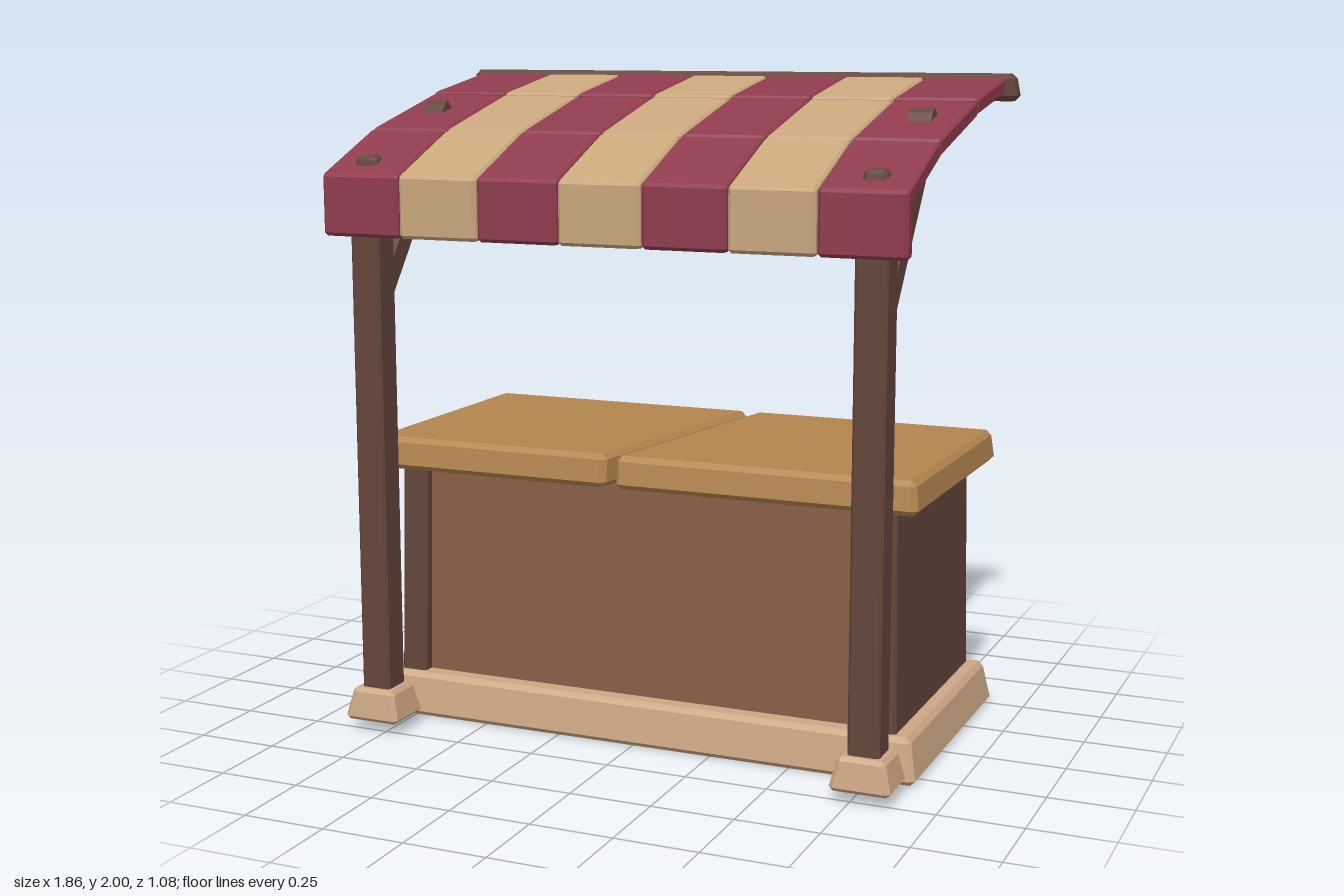
import * as THREE from 'three';
import { ConvexGeometry } from 'three/addons/geometries/ConvexGeometry.js';

const mat = (name, color) => {
  const m = new THREE.MeshStandardMaterial({ color });
  m.name = name;
  return m;
};

// Box with cut edges between two corners; warp may move each point
function chamferBox(min, max, c, warp) {
  const half = max.map((v, i) => (v - min[i]) / 2);
  const mid = max.map((v, i) => (v + min[i]) / 2);
  const pts = [];
  for (const sx of [-1, 1]) for (const sy of [-1, 1]) for (const sz of [-1, 1]) {
    for (let axis = 0; axis < 3; axis++) {
      const s = [sx, sy, sz];
      const p = s.map((d, i) => mid[i] + d * (half[i] - (i === axis ? 0 : c)));
      const v = new THREE.Vector3(...p);
      if (warp) warp(v, s);
      pts.push(v);
    }
  }
  return new ConvexGeometry(pts);
}

// Pulls the upper points inwards by dx and dz
const taper = (dx, dz) => (v, s) => {
  if (s[1] > 0) {
    v.x -= s[0] * dx;
    v.z -= s[2] * dz;
  }
};

export function createModel() {
  const red = mat('red cloth', 0x8f3c4e);
  const cream = mat('cream cloth', 0xc9a67c);
  const dark = mat('dark wood', 0x64463b);
  const panelWood = mat('panel wood', 0x875f46);
  const topWood = mat('counter wood', 0xb4854f);
  const pale = mat('pale base', 0xcba683);

  const model = new THREE.Group();
  model.name = 'marketStall';
  const add = (name, geo, material, parent = model) => {
    const m = new THREE.Mesh(geo, material);
    m.name = name;
    parent.add(m);
    return m;
  };

  // Counter: base, side walls, recessed panels
  const counter = new THREE.Group();
  counter.name = 'counter';
  model.add(counter);
  add('base', chamferBox([-0.885, 0, -0.54], [0.885, 0.135, 0.33], 0.015, taper(0.02, 0.02)), pale, counter);
  for (const s of [-1, 1]) {
    const a = s * 0.73, b = s * 0.815;
    add('sideWall', chamferBox([Math.min(a, b), 0.12, -0.49], [Math.max(a, b), 0.81, 0.285], 0.008, (v, k) => {
      if (k[1] > 0) {
        v.x -= s * 0.012;
        v.z -= k[2] * 0.012;
      }
    }), dark, counter);
  }
  add('panels', chamferBox([-0.75, 0.12, -0.455], [0.75, 0.80, 0.25], 0.005, taper(0, 0.01)), panelWood, counter);

  // Counter top: two boards parted by a slanted gap
  for (const s of [-1, 1]) {
    const inner = s * 0.016 - 0.005, outer = s * 0.877;
    add('counterBoard', chamferBox(
      [Math.min(inner, outer), 0.79, -0.54], [Math.max(inner, outer), 0.89, 0.33], 0.016,
      (v, k) => {
        if (k[0] === -s) v.x -= 0.15 * (v.z + 0.105);
        else if (k[1] > 0) v.x -= s * 0.008;
        if (k[1] > 0) v.z -= k[2] * 0.01;
      }), topWood, counter);
  }

  // Poles, feet and slanted braces
  for (const s of [-1, 1]) {
    const frame = new THREE.Group();
    frame.name = s > 0 ? 'leftFrame' : 'rightFrame';
    frame.position.x = s * 0.785;
    model.add(frame);
    add('foot', chamferBox([-0.09, 0.035, 0.37], [0.09, 0.135, 0.535], 0.012, taper(0.018, 0.014)), pale, frame);
    add('pole', chamferBox([-0.0475, 0.028, 0.402], [0.0475, 1.69, 0.498], 0.008), dark, frame);
    add('poleTip', chamferBox([-0.046, 1.66, 0.405], [0.046, 1.765, 0.495], 0.012, taper(0.012, 0.014)), dark, frame);

    const side = [[0.42, 1.315], [0.42, 1.42], [0.062, 1.9], [0.042, 1.913], [0.008, 1.885], [0.008, 1.855]];
    const pts = [];
    for (const [z, y] of side) for (const x of [-0.036, 0.036]) pts.push(new THREE.Vector3(x, y, z));
    add('brace', new ConvexGeometry(pts), dark, frame);
  }
  add('crossBeam', chamferBox([-0.82, 1.63, 0.412], [0.82, 1.7, 0.488], 0.01), dark);

  // Awning: striped slats in three sloping rows, with a hanging front edge
  const awning = new THREE.Group();
  awning.name = 'awning';
  model.add(awning);
  const rows = [
    [0.53, 1.69, 0.243, 1.81],
    [0.243, 1.81, -0.136, 1.905],
    [-0.136, 1.91, -0.48, 1.967],
  ];
  const stripe = 1.8 / 7, w = stripe / 2 - 0.002, t = 0.024;
  for (let i = 0; i < 7; i++) {
    const x = (i - 3) * stripe;
    const cloth = i % 2 ? cream : red;
    for (const [z0, y0, z1, y1] of rows) {
      const len = Math.hypot(z0 - z1, y1 - y0), h = len / 2 - 0.002;
      const slat = add('awningSlat', chamferBox([-w, -t, -h], [w, t, h], 0.007), cloth, awning);
      slat.position.set(x, (y0 + y1) / 2, (z0 + z1) / 2);
      slat.rotation.x = Math.asin((y1 - y0) / len);
    }
    add('valance', chamferBox([-w, 1.53, 0.492], [w, 1.715, 0.541], 0.01), cloth, awning).position.x = x;
  }
  add('ridgeBeam', chamferBox([-0.932, 1.917, -0.526], [0.932, 2, -0.45], 0.016, (v, k) => {
    if (k[1] > 0) v.x -= k[0] * 0.01;
  }), dark, awning);

  return model;
}
